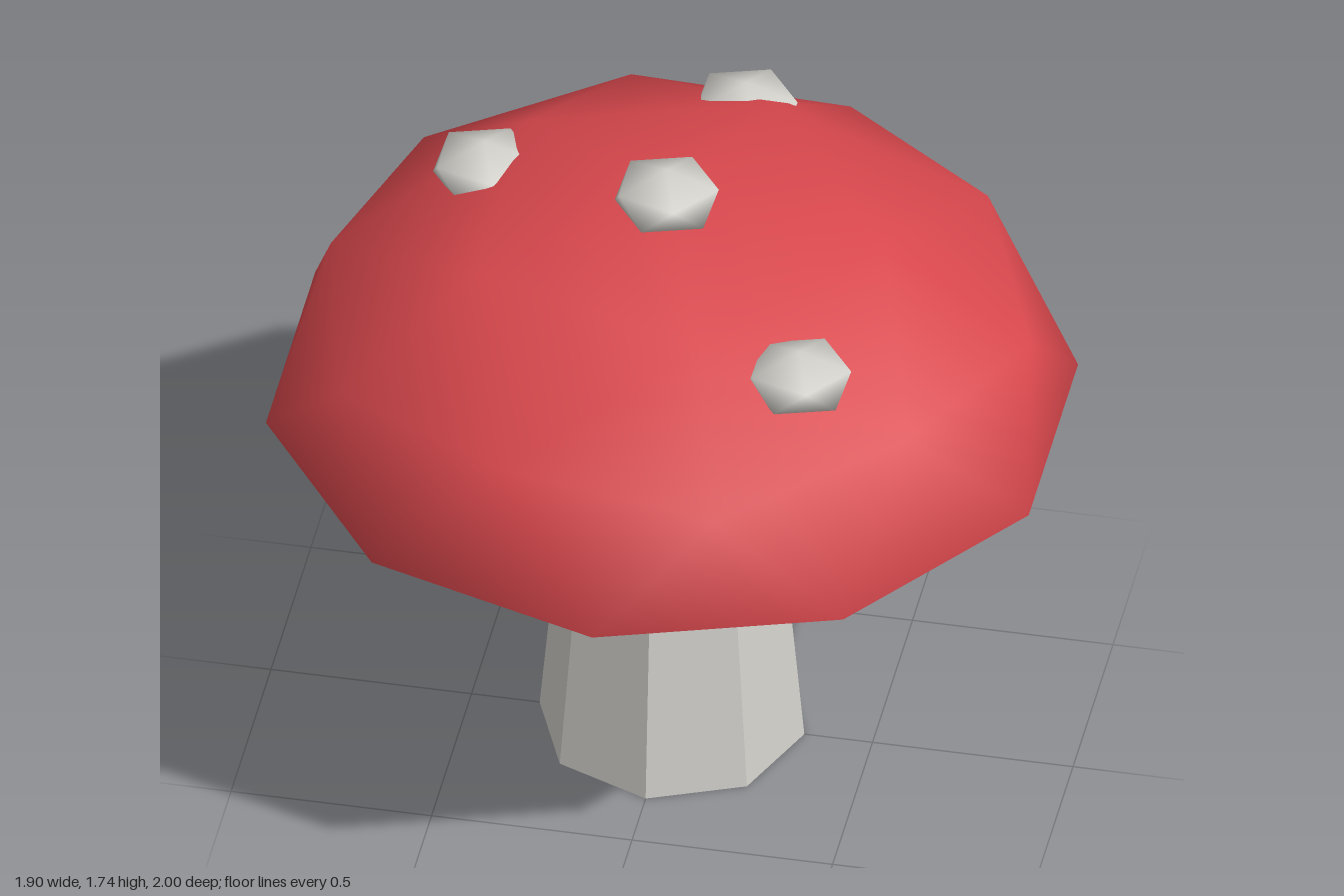
import * as THREE from 'three';
import { mergeVertices } from 'three/addons/utils/BufferGeometryUtils.js';

// Icosphere with one vertex on top, one spoke towards +x, and shared vertices
function icosphere(detail) {
  const geo = new THREE.IcosahedronGeometry(1, detail);
  geo.deleteAttribute('normal');
  geo.deleteAttribute('uv');
  geo.rotateZ(-Math.atan(2 / (1 + Math.sqrt(5))));
  return mergeVertices(geo, 1e-4);
}

export function createModel() {
  const group = new THREE.Group();
  const capRed = new THREE.MeshStandardMaterial({ color: 0xd9484d });
  capRed.name = 'capRed';
  const paleGrey = new THREE.MeshStandardMaterial({ color: 0xd2d1cb });
  paleGrey.name = 'paleGrey';

  const add = (name, geo, material) => {
    const mesh = new THREE.Mesh(geo, material);
    mesh.name = name;
    group.add(mesh);
    return mesh;
  };

  // Tapered eight-sided stem with flat faces
  const stem = new THREE.CylinderGeometry(0.24, 0.33, 1, 8).toNonIndexed();
  stem.computeVertexNormals();
  add('stem', stem.translate(0, 0.5, 0), paleGrey);

  // Cap: a squashed icosphere whose lower half is pressed flat
  const cap = icosphere(1);
  const pos = cap.attributes.position;
  for (let i = 0; i < pos.count; i++) {
    pos.setY(i, 1 + 0.64 * Math.max(0, pos.getY(i)));
  }
  cap.computeVertexNormals();
  add('cap', cap, capRed);

  // Spots: small smooth squashed icosahedra sunk into the cap
  const spot = icosphere(0).scale(0.145, 0.077, 0.138);
  spot.computeVertexNormals();
  const spots = [
    ['topSpot', 0, 1.662, 0.065],
    ['frontSpot', 0.41, 1.464, 0.465],
    ['rightSpot', -0.5, 1.498, -0.17],
    ['backSpot', 0.07, 1.464, -0.57],
  ];
  for (const [name, x, y, z] of spots) {
    add(name, spot, paleGrey).position.set(x, y, z);
  }
  return group;
}
